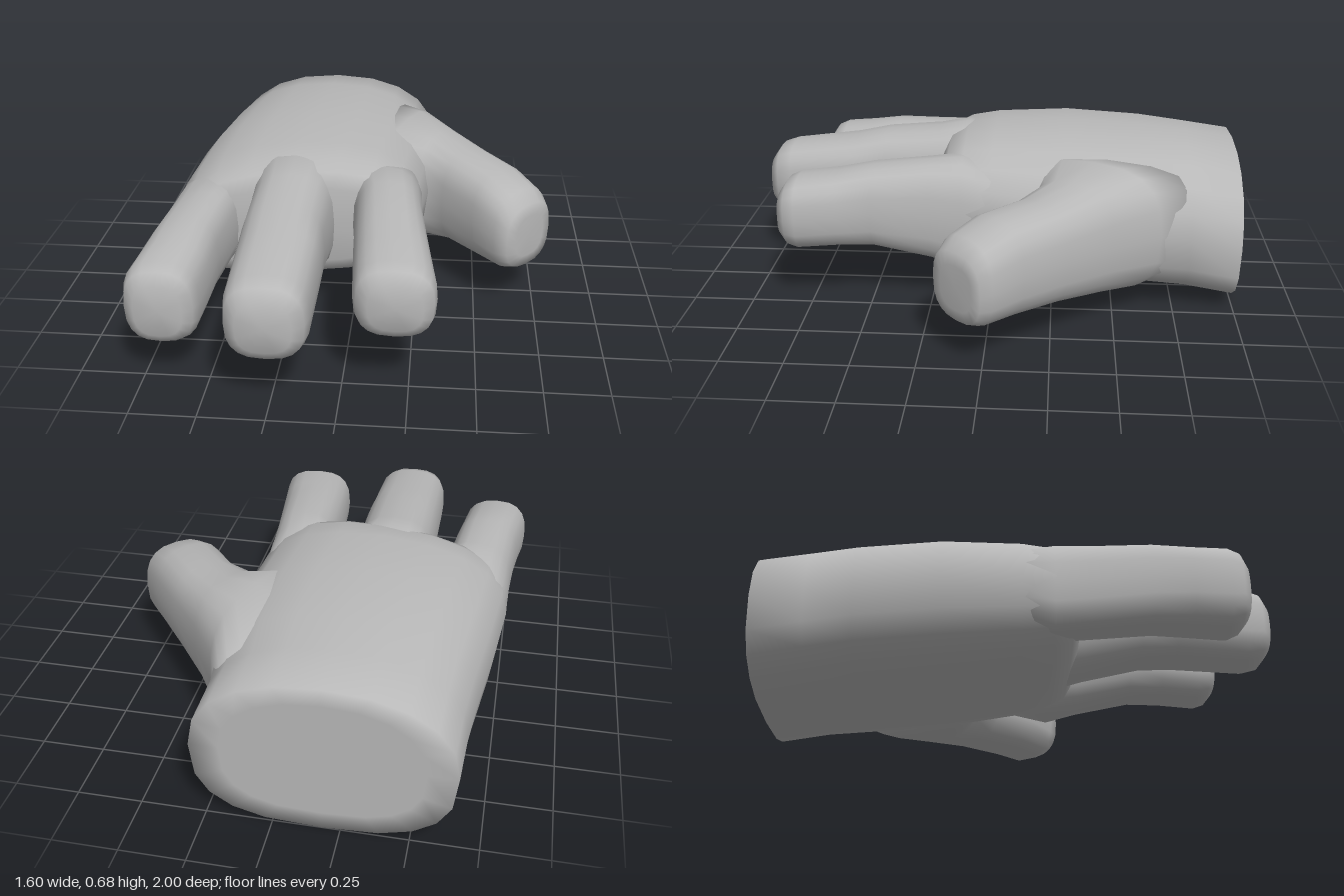
import * as THREE from 'three';

const SIDES = 20;

// Closed loft. Each section: [leftX, leftZ, rightX, rightZ, bottomY, topY, tilt = 0],
// a superellipse standing between two points on the ground plan.
function loft(name, sections, material, topPower = 2.7, bottomPower = 2.7) {
  const positions = [], indices = [];
  const center = ([lx, lz, rx, rz, y0, y1]) => [(lx + rx) / 2, (y0 + y1) / 2, (lz + rz) / 2];
  for (const s of sections) {
    const [lx, lz, rx, rz, y0, y1, tilt = 0] = s;
    const [cx, cy, cz] = center(s);
    for (let j = 0; j < SIDES; j++) {
      const a = (j / SIDES) * Math.PI * 2, c = Math.cos(a), n = Math.sin(a);
      const p = n > 0 ? topPower : bottomPower;
      const u = Math.sign(c) * Math.abs(c) ** (2 / p);
      const v = Math.sign(n) * Math.abs(n) ** (2 / p);
      positions.push(cx + u * (rx - lx) / 2, cy + v * (y1 - y0) / 2 + u * tilt, cz + u * (rz - lz) / 2);
    }
  }
  const last = sections.length - 1, startTip = sections.length * SIDES;
  positions.push(...center(sections[0]), ...center(sections[last]));
  for (let j = 0; j < SIDES; j++) {
    const k = (j + 1) % SIDES;
    for (let i = 0; i < last; i++) {
      const a = i * SIDES + j, b = i * SIDES + k;
      indices.push(a, b, b + SIDES, a, b + SIDES, a + SIDES);
    }
    indices.push(k, j, startTip, last * SIDES + j, last * SIDES + k, startTip + 1);
  }
  const geometry = new THREE.BufferGeometry();
  geometry.setAttribute('position', new THREE.Float32BufferAttribute(positions, 3));
  geometry.setIndex(indices);
  geometry.computeVertexNormals();
  const mesh = new THREE.Mesh(geometry, material);
  mesh.name = name;
  return mesh;
}

// Sections square to z, written as [z, leftX, rightX, bottomY, topY, tilt]
const alongZ = (rows) => rows.map(([z, l, r, y0, y1, t]) => [l, z, r, z, y0, y1, t]);

export function createModel() {
  const group = new THREE.Group();
  group.name = 'hand';
  const skin = new THREE.MeshStandardMaterial({ color: 0xb8b8b8 });
  skin.name = 'grey skin';

  // Palm and wrist, with a flat cut at the back
  group.add(loft('palm', alongZ([
    [-1, -0.55, 0.19, 0.07, 0.55],
    [-1, -0.66, 0.30, 0.00, 0.62],
    [-0.8, -0.67, 0.29, 0.03, 0.645],
    [-0.62, -0.69, 0.31, 0.05, 0.665],
    [-0.3, -0.73, 0.31, 0.07, 0.68, 0.01],
    [0, -0.755, 0.28, 0.10, 0.665, 0.03],
    [0.12, -0.755, 0.27, 0.125, 0.645, 0.04],
    [0.19, -0.74, 0.26, 0.16, 0.61, 0.04],
    [0.22, -0.68, 0.20, 0.22, 0.55, 0.03],
  ]), skin, 2.25, 2.8));

  // Three fingers, swelling at the knuckle and blunt at the tip
  group.add(loft('outerFinger', alongZ([
    [-0.1, -0.74, -0.44, 0.2, 0.5],
    [0.12, -0.755, -0.45, 0.165, 0.545, 0.03],
    [0.25, -0.757, -0.48, 0.17, 0.535, 0.02],
    [0.48, -0.77, -0.5, 0.185, 0.53, 0.01],
    [0.62, -0.785, -0.51, 0.175, 0.505],
    [0.75, -0.802, -0.52, 0.16, 0.49],
    [0.795, -0.79, -0.535, 0.18, 0.47],
    [0.825, -0.75, -0.57, 0.22, 0.425],
  ]), skin));
  group.add(loft('middleFinger', alongZ([
    [-0.1, -0.4, -0.08, 0.2, 0.6],
    [0.12, -0.43, -0.06, 0.14, 0.65],
    [0.25, -0.415, -0.085, 0.175, 0.625],
    [0.48, -0.41, -0.088, 0.23, 0.605],
    [0.62, -0.408, -0.088, 0.235, 0.575],
    [0.9, -0.402, -0.092, 0.22, 0.54],
    [0.96, -0.39, -0.105, 0.235, 0.52],
    [0.995, -0.345, -0.145, 0.28, 0.47],
  ]), skin));
  group.add(loft('innerFinger', alongZ([
    [-0.1, -0.02, 0.27, 0.2, 0.55],
    [0.12, -0.03, 0.275, 0.15, 0.615, -0.01],
    [0.25, 0.005, 0.28, 0.19, 0.61],
    [0.48, 0.02, 0.305, 0.25, 0.59],
    [0.62, 0.03, 0.325, 0.255, 0.565],
    [0.78, 0.042, 0.347, 0.25, 0.55],
    [0.825, 0.055, 0.338, 0.265, 0.53],
    [0.857, 0.1, 0.3, 0.305, 0.485],
  ]), skin));

  // Thumb, branching forward from the side of the palm
  group.add(loft('thumb', [
    [-0.15, -0.2, 0.22, -0.86, 0.12, 0.6],
    [0.08, -0.12, 0.31, -0.68, 0.09, 0.63],
    [0.24, -0.16, 0.43, -0.49, 0.125, 0.595],
    [0.35, -0.08, 0.57, -0.315, 0.155, 0.565],
    [0.475, 0.075, 0.7, -0.155, 0.165, 0.55],
    [0.565, 0.165, 0.785, -0.045, 0.165, 0.505],
    [0.62, 0.19, 0.802, 0, 0.185, 0.46],
    [0.66, 0.16, 0.775, 0.035, 0.23, 0.41],
  ], skin));

  return group;
}
